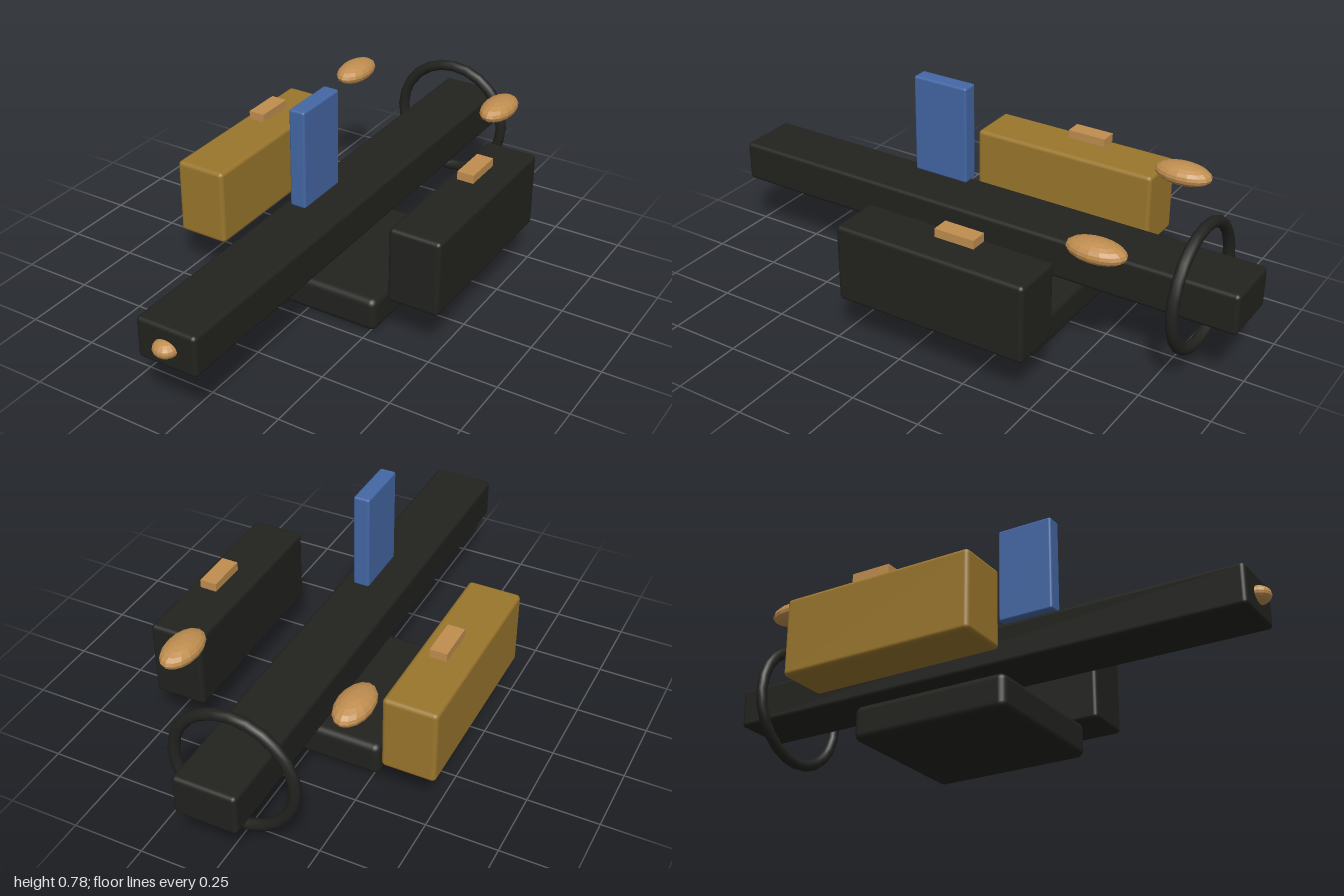
import * as THREE from 'three';
import { RoundedBoxGeometry } from 'three/addons/geometries/RoundedBoxGeometry.js';

const material = (color, flatShading = false) => new THREE.MeshStandardMaterial({ color, flatShading });

export function createModel() {
  const model = new THREE.Group();
  const black = material(0x22231f);
  const gold = material(0x9a762c);
  const blue = material(0x4467a5);
  const tan = material(0xc08e50, true);

  const add = (name, geometry, mat, x, y, z) => {
    const mesh = new THREE.Mesh(geometry, mat);
    mesh.name = name;
    mesh.position.set(x, y, z);
    model.add(mesh);
    return mesh;
  };
  // Softly bevelled box
  const block = (name, mat, size, pos, radius) =>
    add(name, new RoundedBoxGeometry(...size, 3, radius), mat, ...pos);
  // Faceted ellipsoid
  const ellipsoid = (name, radii, pos) =>
    add(name, new THREE.SphereGeometry(1, 16, 10), tan, ...pos).scale.set(...radii);

  // Long central beam, base and upright fin
  block('beam', black, [0.22, 0.146, 1.96], [0, 0.303, -0.02], 0.015);
  block('base', black, [0.54, 0.124, 0.58], [0, 0.062, -0.08], 0.025);
  block('fin', blue, [0.058, 0.35, 0.208], [0, 0.605, 0.149], 0.008);

  // Ring around the rear of the beam
  add('rearRing', new THREE.TorusGeometry(0.212, 0.02, 10, 24), black, 0, 0.303, -0.826);

  // Knob on the front end of the beam
  ellipsoid('noseKnob', [0.043, 0.029, 0.043], [0, 0.303, 0.957]);

  // Side boxes, lid slabs and floating pods, one per side
  for (const [side, s] of [['left', 1], ['right', -1]]) {
    block(side + 'SideBox', s > 0 ? black : gold, [0.188, 0.276, 0.704], [s * 0.421, 0.303, -0.124], 0.015);
    add(side + 'Slab', new THREE.BoxGeometry(0.06, 0.03, 0.144), tan, s * 0.42, 0.491, -0.188);
    ellipsoid(side + 'Pod', [0.059, 0.037, 0.103], [s * 0.301, 0.51, -0.605]);
  }
  return model;
}
